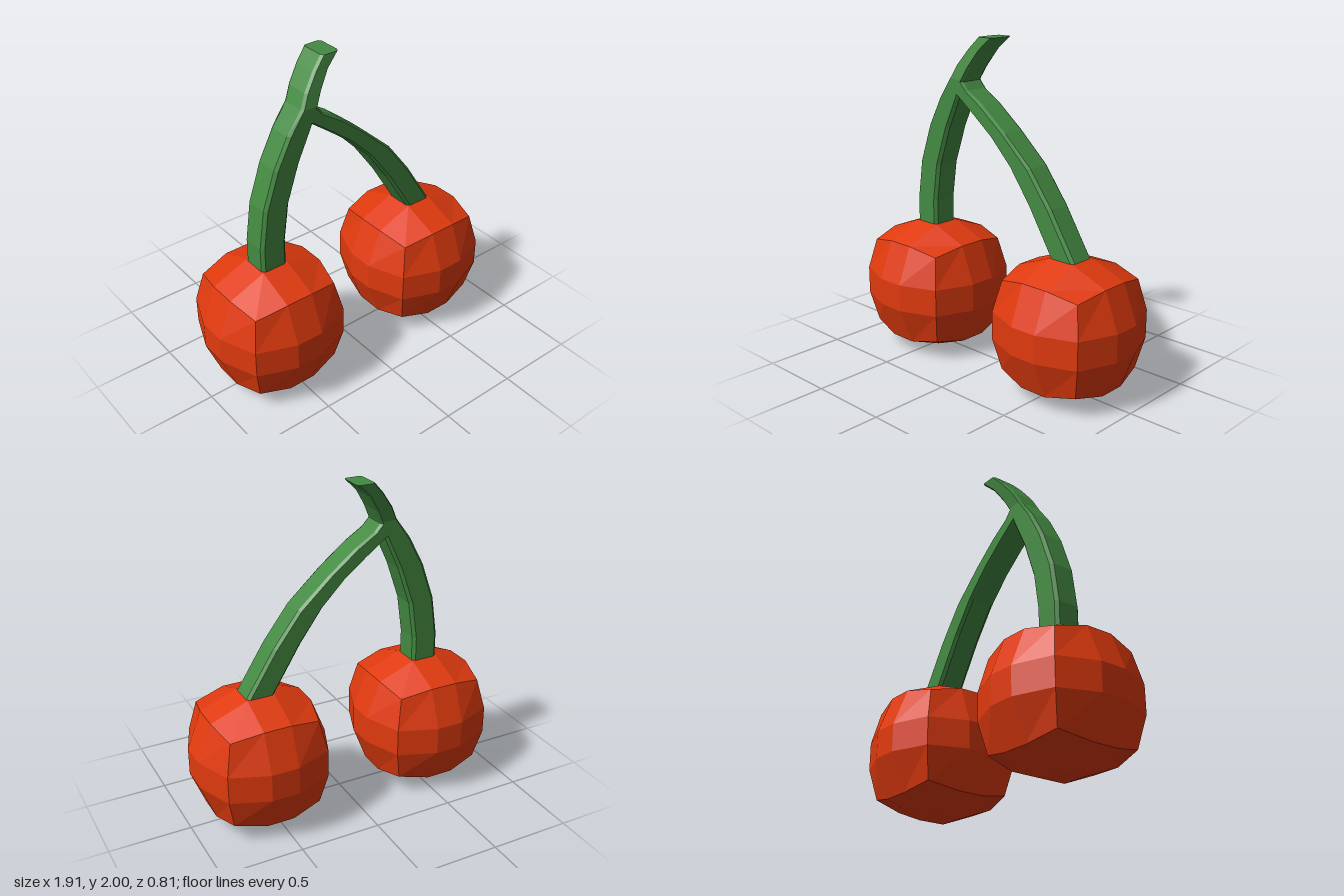
import * as THREE from 'three';

const red = new THREE.MeshStandardMaterial({ color: 0xe03a0e, flatShading: true });
const green = new THREE.MeshStandardMaterial({ color: 0x448a42, flatShading: true });

// Faceted fruit: a 3x3x3 box whose vertices are pulled to a rounded shape
function cherry(name, x) {
  const geo = new THREE.BoxGeometry(2, 2, 2, 3, 3, 3);
  const p = geo.attributes.position;
  const reach = [0, 0.405, 0.315, 0.275]; // by number of coordinates on the box surface
  for (let i = 0; i < p.count; i++) {
    const c = p.getX(i), d = p.getY(i), e = p.getZ(i);
    const outer = [c, d, e].filter((v) => Math.abs(v) > 0.9).length;
    const move = (v) => Math.sign(v) * (Math.abs(v) > 0.9 ? reach[outer] : 0.085);
    p.setXYZ(i, move(c), move(d), move(e));
  }
  const mesh = new THREE.Mesh(geo, red);
  mesh.name = name;
  mesh.position.set(x, 0.408, 0);
  return mesh;
}

// Bevelled stem lofted upward through rings [leftX, leftY, rightX, rightY, z]
function stem(name, rings) {
  const b = 0.78, depth = 0.086;
  const outline = [[1, b], [b, 1], [-b, 1], [-1, b], [-1, -b], [-b, -1], [b, -1], [1, -b]];
  const n = outline.length, pos = [], index = [];
  for (const [lx, ly, rx, ry, z] of rings) {
    for (const [u, w] of outline) {
      pos.push((lx + rx + u * (rx - lx)) / 2, (ly + ry + u * (ry - ly)) / 2, z + w * depth);
    }
  }
  for (let r = 0; r < rings.length - 1; r++) {
    for (let i = 0; i < n; i++) {
      const a = r * n + i, c = r * n + (i + 1) % n;
      index.push(a, a + n, c, c, a + n, c + n);
    }
  }
  // End caps
  const top = (rings.length - 1) * n;
  for (let i = 1; i < n - 1; i++) {
    index.push(0, i, i + 1, top, top + i + 1, top + i);
  }
  const geo = new THREE.BufferGeometry();
  geo.setAttribute('position', new THREE.Float32BufferAttribute(pos, 3));
  geo.setIndex(index);
  geo.computeVertexNormals();
  const mesh = new THREE.Mesh(geo, green);
  mesh.name = name;
  return mesh;
}

export function createModel() {
  const group = new THREE.Group();
  group.name = 'cherryPair';
  group.add(cherry('rightCherry', -0.553), cherry('leftCherry', 0.55));

  // Main stem, bending back at its tip
  group.add(stem('mainStem', [
    [-0.64, 0.79, -0.47, 0.79, 0],
    [-0.64, 0.965, -0.47, 0.965, 0],
    [-0.605, 1.21, -0.437, 1.2, 0],
    [-0.525, 1.44, -0.355, 1.44, 0],
    [-0.43, 1.62, -0.265, 1.635, 0],
    [-0.335, 1.75, -0.225, 1.745, 0],
    [-0.295, 1.83, -0.185, 1.825, -0.018],
    [-0.22, 1.93, -0.12, 1.925, -0.042],
    [-0.155, 2.0, -0.04, 2.0, -0.058],
  ]));

  // Side stem, growing out of the main one
  group.add(stem('sideStem', [
    [0.475, 0.79, 0.65, 0.79, 0],
    [0.29, 1.09, 0.46, 1.09, 0],
    [0.145, 1.29, 0.3, 1.3, 0],
    [0.0, 1.44, 0.1, 1.48, 0],
    [-0.14, 1.55, -0.07, 1.615, 0],
    [-0.26, 1.64, -0.19, 1.69, 0],
    [-0.31, 1.67, -0.24, 1.75, 0],
  ]));
  return group;
}
